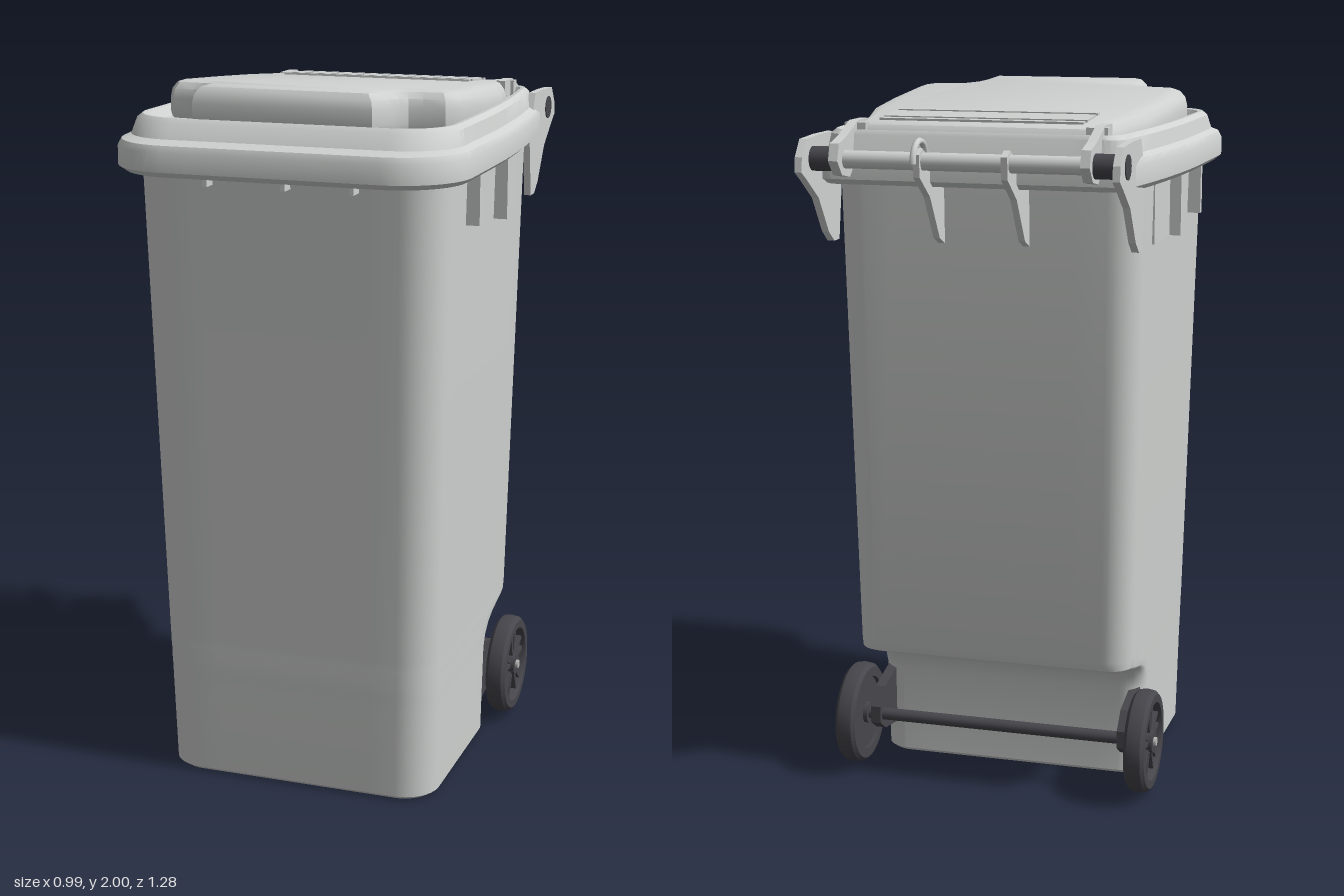
import * as THREE from 'three';
import { toCreasedNormals } from 'three/addons/utils/BufferGeometryUtils.js';

const plastic = new THREE.MeshStandardMaterial({ color: 0xcfd2d0 });
plastic.name = 'light grey plastic';
const rubber = new THREE.MeshStandardMaterial({ color: 0x46464c });
rubber.name = 'dark rubber';
const steel = new THREE.MeshStandardMaterial({ color: 0xb8b8b8 });
steel.name = 'steel';

function add(parent, name, geometry, material, x = 0, y = 0, z = 0) {
  const mesh = new THREE.Mesh(geometry, material);
  mesh.name = name;
  mesh.position.set(x, y, z);
  parent.add(mesh);
  return mesh;
}

// Rounded rectangle in plan: half width, front z, back z, front and back corner radii
function ring([y, w, f, b, rf, rb], taper) {
  const pts = [], n = 10;
  const corners = [[w - rf, f - rf, rf], [-w + rf, f - rf, rf], [-w + rb, b + rb, rb], [w - rb, b + rb, rb]];
  corners.forEach(([cx, cz, r], q) => {
    for (let i = 0; i <= n; i++) {
      const a = (q + i / n) * Math.PI / 2;
      pts.push([cx + r * Math.cos(a), y, cz + r * Math.sin(a)]);
    }
    // extra points along the straight sides so the plan can taper smoothly
    const next = corners[(q + 1) % 4], a = (q + 1) * Math.PI / 2;
    const end = [next[0] + next[2] * Math.cos(a), next[1] + next[2] * Math.sin(a)];
    const p = pts[pts.length - 1];
    for (let i = 1; i < 8; i++) {
      const t = i / 8;
      pts.push([p[0] + (end[0] - p[0]) * t, y, p[2] + (end[1] - p[2]) * t]);
    }
  });
  return pts.map(([x, py, z]) => [x * (1 - taper * Math.max(0, (0.2 - z) / 0.7) ** 2), py, z]);
}

// Closed skin through rings listed from bottom to top
function loft(sections, taper = 0) {
  const rings = sections.map((s) => ring(s, taper));
  const n = rings[0].length, last = (rings.length - 1) * n, index = [];
  const pos = rings.flat(2);
  const mid = (s) => [0, s[0], (s[2] + s[3]) / 2];
  pos.push(...mid(sections[0]), ...mid(sections[sections.length - 1]));
  const c0 = rings.length * n, c1 = c0 + 1;
  for (let j = 0; j < n; j++) {
    const k = (j + 1) % n;
    for (let i = 0; i < last; i += n) index.push(i + j, i + n + j, i + k, i + k, i + n + j, i + n + k);
    index.push(c0, j, k, c1, last + k, last + j);
  }
  const g = new THREE.BufferGeometry();
  g.setAttribute('position', new THREE.Float32BufferAttribute(pos, 3));
  g.setIndex(index);
  return toCreasedNormals(g, 0.6);
}

// Flat plate cut from a [z, y] profile, its thickness centred on x = 0
function plate(profile, thickness, hole) {
  const s = new THREE.Shape(profile.map(([z, y]) => new THREE.Vector2(-z, y)));
  if (hole) s.holes.push(new THREE.Path().absarc(-hole[0], hole[1], hole[2], 0, Math.PI * 2, true));
  const g = new THREE.ExtrudeGeometry(s, { depth: thickness, bevelEnabled: false });
  return g.translate(0, 0, -thickness / 2).rotateY(Math.PI / 2);
}

const rod = (r, length, n = 24) => new THREE.CylinderGeometry(r, r, length, n).rotateZ(Math.PI / 2);
const lidY = (z) => 2 + 0.074 * (z - 0.5);

function makeWheel() {
  const wheel = new THREE.Group();
  wheel.name = 'wheel';
  const tyre = [[0.108, -0.03], [0.136, -0.03], [0.146, -0.02], [0.149, 0], [0.146, 0.02], [0.136, 0.03], [0.113, 0.03], [0.108, 0.02], [0.108, -0.03]];
  const lathe = new THREE.LatheGeometry(tyre.map((p) => new THREE.Vector2(...p)), 40);
  add(wheel, 'tyre', toCreasedNormals(lathe.rotateZ(-Math.PI / 2), 0.5), rubber);
  add(wheel, 'wheelDisc', rod(0.112, 0.015, 32), rubber, -0.01);
  add(wheel, 'hub', rod(0.032, 0.06), rubber);
  add(wheel, 'hubPin', rod(0.013, 0.02, 12), steel, 0.028);
  // five forked spokes
  for (let i = 0; i < 5; i++) {
    for (const side of [-1, 1]) {
      const g = new THREE.BoxGeometry(0.025, 0.09, 0.012).translate(0, 0.068, 0);
      add(wheel, 'spoke', g, rubber, 0.008).rotation.x = i * Math.PI * 0.4 + side * 0.2;
    }
  }
  return wheel;
}

export function createModel() {
  const bin = new THREE.Group();
  bin.name = 'wheeledBin';

  // Tapered body with the step over the axle: y, half width, front, back, radii
  add(bin, 'body', loft([
    [0, 0.385, 0.46, -0.105, 0.09, 0.06],
    [0.012, 0.4, 0.475, -0.12, 0.1, 0.07],
    [0.27, 0.404, 0.487, -0.125, 0.1, 0.07],
    [0.31, 0.405, 0.488, -0.14, 0.1, 0.07],
    [0.34, 0.406, 0.49, -0.172, 0.1, 0.07],
    [0.36, 0.406, 0.49, -0.22, 0.1, 0.07],
    [0.38, 0.407, 0.491, -0.3, 0.1, 0.07],
    [0.392, 0.407, 0.491, -0.33, 0.1, 0.07],
    [0.42, 0.408, 0.492, -0.342, 0.1, 0.08],
    [1.79, 0.435, 0.55, -0.38, 0.11, 0.09],
  ]), plastic);

  // Lid skirt, shoulder and sunken tray
  add(bin, 'lid', loft([
    [1.78, 0.435, 0.55, -0.41, 0.12, 0.05],
    [1.765, 0.475, 0.625, -0.48, 0.18, 0.05],
    [1.78, 0.493, 0.643, -0.5, 0.19, 0.05],
    [1.832, 0.493, 0.643, -0.5, 0.19, 0.05],
    [1.85, 0.484, 0.634, -0.497, 0.185, 0.05],
    [1.86, 0.466, 0.59, -0.49, 0.16, 0.05],
    [1.9, 0.456, 0.565, -0.485, 0.15, 0.05],
    [1.912, 0.442, 0.55, -0.475, 0.14, 0.05],
    [1.91, 0.428, 0.535, -0.465, 0.13, 0.04],
    [1.885, 0.41, 0.52, -0.45, 0.12, 0.04],
  ], 0.12), plastic);

  // Raised lid panel, cut away at the front corners and sloping to the back
  const half = [[0.215, 0.505], [0.225, 0.42], [0.24, 0.37], [0.27, 0.335], [0.32, 0.32], [0.365, 0.315],
    [0.38, 0.29], [0.378, 0.05], [0.365, -0.15], [0.33, -0.29], [0.31, -0.42]];
  const outline = [...half, ...half.map(([x, z]) => [-x, z]).reverse()];
  const panel = new THREE.ExtrudeGeometry(new THREE.Shape(outline.map(([x, z]) => new THREE.Vector2(x, -z))),
    { depth: 0.04, bevelThickness: 0.05, bevelSize: 0.04, bevelSegments: 3 }).rotateX(-Math.PI / 2);
  const p = panel.attributes.position;
  for (let i = 0; i < p.count; i++) p.setY(i, p.getY(i) - 0.09 + lidY(p.getZ(i)));
  add(bin, 'lidPanel', toCreasedNormals(panel, 0.5), plastic);

  // Shallow ribs at the back of the lid
  for (const [z, d] of [[-0.395, 0.02], [-0.315, 0.1], [-0.235, 0.02]]) {
    add(bin, 'lidRib', new THREE.BoxGeometry(0.57, 0.012, d), plastic, 0, lidY(z), z).rotation.x = -0.074;
  }

  // Hinge bar
  const hz = -0.555, hy = 1.84;
  add(bin, 'hingeBar', rod(0.024, 0.84), plastic, 0, hy, hz);
  const outer = [[-0.34, 1.78], [-0.37, 1.6], [-0.41, 1.6], [-0.45, 1.63], [-0.52, 1.73], [-0.6, 1.785], [-0.64, 1.81],
    [-0.635, 1.85], [-0.6, 1.895], [-0.5, 1.9], [-0.4, 1.9]];
  const lidArm = [[-0.37, 1.9], [-0.45, 1.85], [-0.52, 1.79], [-0.58, 1.8], [-0.615, 1.84], [-0.6, 1.885], [-0.54, 1.9],
    [-0.45, 1.935], [-0.37, 1.935]];
  const rib = [[-0.36, 1.79], [-0.375, 1.6], [-0.42, 1.62], [-0.5, 1.74], [-0.585, 1.8], [-0.59, 1.86], [-0.56, 1.875], [-0.48, 1.83]];
  for (const s of [-1, 1]) {
    add(bin, 'hingeArm', plate(outer, 0.02, [hz, hy, 0.033]), plastic, s * 0.43);
    add(bin, 'hingeCap', rod(0.033, 0.09), rubber, s * 0.398, hy, hz);
    add(bin, 'lidArm', plate(lidArm, 0.026), plastic, s * 0.342);
    add(bin, 'lidBracket', new THREE.BoxGeometry(0.06, 0.05, 0.03), plastic, s * 0.335, 1.905, -0.445);
    add(bin, 'handleRib', plate(rib, 0.018), plastic, s * 0.12);

    // Rim ribs on the sides
    for (const [z, h] of [[0.283, 0.16], [0, 0.19]]) {
      add(bin, 'sideRib', new THREE.BoxGeometry(0.05, h, 0.022), plastic, s * 0.445, 1.785 - h / 2, z);
    }
    add(bin, 'sidePanel', new THREE.BoxGeometry(0.02, 0.18, 0.2), plastic, s * 0.428, 1.685, -0.11);

    // Wheels and axle mounts
    const wheel = makeWheel();
    wheel.position.set(s * 0.433, 0.16, -0.235);
    wheel.rotation.y = s > 0 ? 0 : Math.PI;
    bin.add(wheel);
    const mount = [[-0.1, 0.09], [-0.22, 0.11], [-0.265, 0.14], [-0.265, 0.19], [-0.22, 0.24], [-0.1, 0.27]];
    add(bin, 'axleMount', plate(mount, 0.03), rubber, s * 0.375);
  }
  add(bin, 'hook', new THREE.TorusGeometry(0.055, 0.009, 8, 20, Math.PI * 1.2).rotateY(Math.PI / 2), plastic, 0.115, 1.84, -0.575);
  add(bin, 'axle', rod(0.018, 0.84), rubber, 0, 0.16, -0.235);

  // Small tabs under the front of the lid
  for (const x of [-0.2, 0.02, 0.21]) {
    add(bin, 'frontTab', new THREE.BoxGeometry(0.012, 0.06, 0.05), plastic, x, 1.77, 0.565);
  }
  return bin;
}
